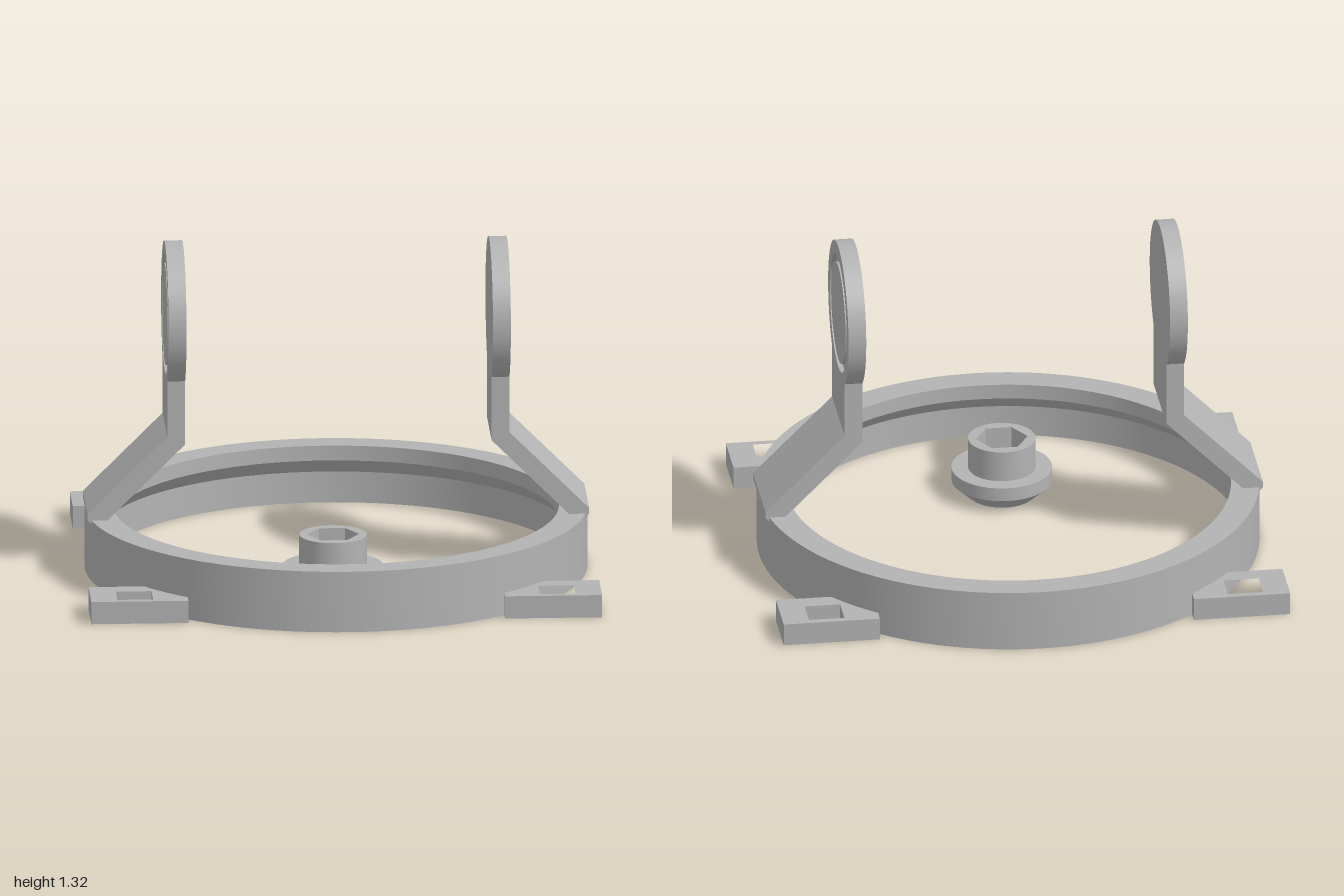
import * as THREE from 'three';
import { toCreasedNormals } from 'three/addons/utils/BufferGeometryUtils.js';

const grey = new THREE.MeshStandardMaterial({ color: 0xb3b3b3 });
grey.name = 'plain grey';

function part(name, geometry) {
  const mesh = new THREE.Mesh(toCreasedNormals(geometry, 0.4), grey);
  mesh.name = name;
  return mesh;
}

const polygon = (pts) => new THREE.Shape(pts.map(([x, y]) => new THREE.Vector2(x, y)));
const lathe = (pts, segments) =>
  new THREE.LatheGeometry(pts.map(([r, y]) => new THREE.Vector2(r, y)), segments);
const extrude = (shape, depth) =>
  new THREE.ExtrudeGeometry(shape, { depth, bevelEnabled: false, curveSegments: 64 });

// Fastening tab with a rectangular hole, its inner end following the ring
function tab(sx, sz) {
  const pts = [[1, 0.595], [1, 0.815], [0.62, 0.815]];
  const a0 = Math.acos(0.62 / 0.97), a1 = Math.asin(0.595 / 0.97);
  for (let i = 0; i <= 8; i++) {
    const a = a0 + (a1 - a0) * i / 8;
    pts.push([0.97 * Math.cos(a), 0.97 * Math.sin(a)]);
  }
  const place = (list) => list.map(([x, z]) => [x * sx, -z * sz]);
  const shape = polygon(place(pts));
  shape.holes.push(polygon(place([[0.757, 0.667], [0.897, 0.667], [0.897, 0.788], [0.757, 0.788]])));
  return part('fasteningTab', extrude(shape, 0.09).rotateX(-Math.PI / 2));
}

// Outline of the upright stem with its round head, in the side plane
function headOutline(w, r, cy) {
  const a = Math.acos(w / r);
  const shape = new THREE.Shape();
  shape.moveTo(-w, 0.58);
  shape.lineTo(w, 0.58);
  shape.lineTo(w, cy - r * Math.sin(a));
  shape.absarc(0, cy, r, -a, Math.PI + a, false);
  shape.lineTo(-w, 0.58);
  return shape;
}

function disc(r, cy = 0) {
  const shape = new THREE.Shape();
  shape.absarc(0, cy, r, 0, Math.PI * 2, false);
  return shape;
}

// Bent arm with a round head that has a circular groove on its outer face
function arm(name) {
  const group = new THREE.Group();
  group.name = name;
  const w = 0.178, cy = 1.03, x0 = 0.6, x1 = 0.65, x2 = 0.67;

  const bend = polygon([
    [x0, 0.58], [x0, 0.548], [0.928, 0.22], [0.96, 0.22], [0.982, 0.245], [0.982, 0.268], [x2, 0.58],
  ]);
  group.add(part('slopedArm', extrude(bend, 2 * w).translate(0, 0, -w)));

  const sideways = (shape, from, to) =>
    extrude(shape, to - from).rotateY(Math.PI / 2).translate(from, 0, 0);
  const rim = headOutline(w, 0.287, cy);
  rim.holes.push(disc(0.235, cy));
  group.add(part('headPlate', sideways(headOutline(w, 0.287, cy), x0, x1)));
  group.add(part('headRim', sideways(rim, x1, x2)));
  group.add(part('headCentre', sideways(disc(0.2, cy), x1, x2)));
  return group;
}

// Loose plug: collar with hexagonal through hole and a flange chamfered below
function plug() {
  const group = new THREE.Group();
  group.name = 'plug';
  const collar = disc(0.132);
  const hex = [];
  for (let i = 0; i < 6; i++) {
    const a = i * Math.PI / 3;
    hex.push([0.102 * Math.cos(a), 0.102 * Math.sin(a)]);
  }
  collar.holes.push(polygon(hex));
  group.add(part('plugCollar', extrude(collar, 0.24).rotateX(-Math.PI / 2)));
  group.add(part('plugFlange',
    lathe([[0.132, 0], [0.197, 0.06], [0.197, 0.115], [0.132, 0.115]], 64)));
  group.position.set(-0.033, 0, 0.41);
  return group;
}

export function createModel() {
  const model = new THREE.Group();
  model.name = 'ringBracket';

  // Base ring with an inner lip at the top and a chamfer under it
  model.add(part('baseRing', lathe([
    [0.927, 0], [0.983, 0], [0.983, 0.245], [0.872, 0.245], [0.872, 0.185], [0.927, 0.125], [0.927, 0],
  ], 128)));

  for (const sx of [-1, 1]) for (const sz of [-1, 1]) model.add(tab(sx, sz));

  const left = arm('leftArm');
  const right = arm('rightArm');
  right.rotation.y = Math.PI;
  model.add(left, right, plug());
  return model;
}
